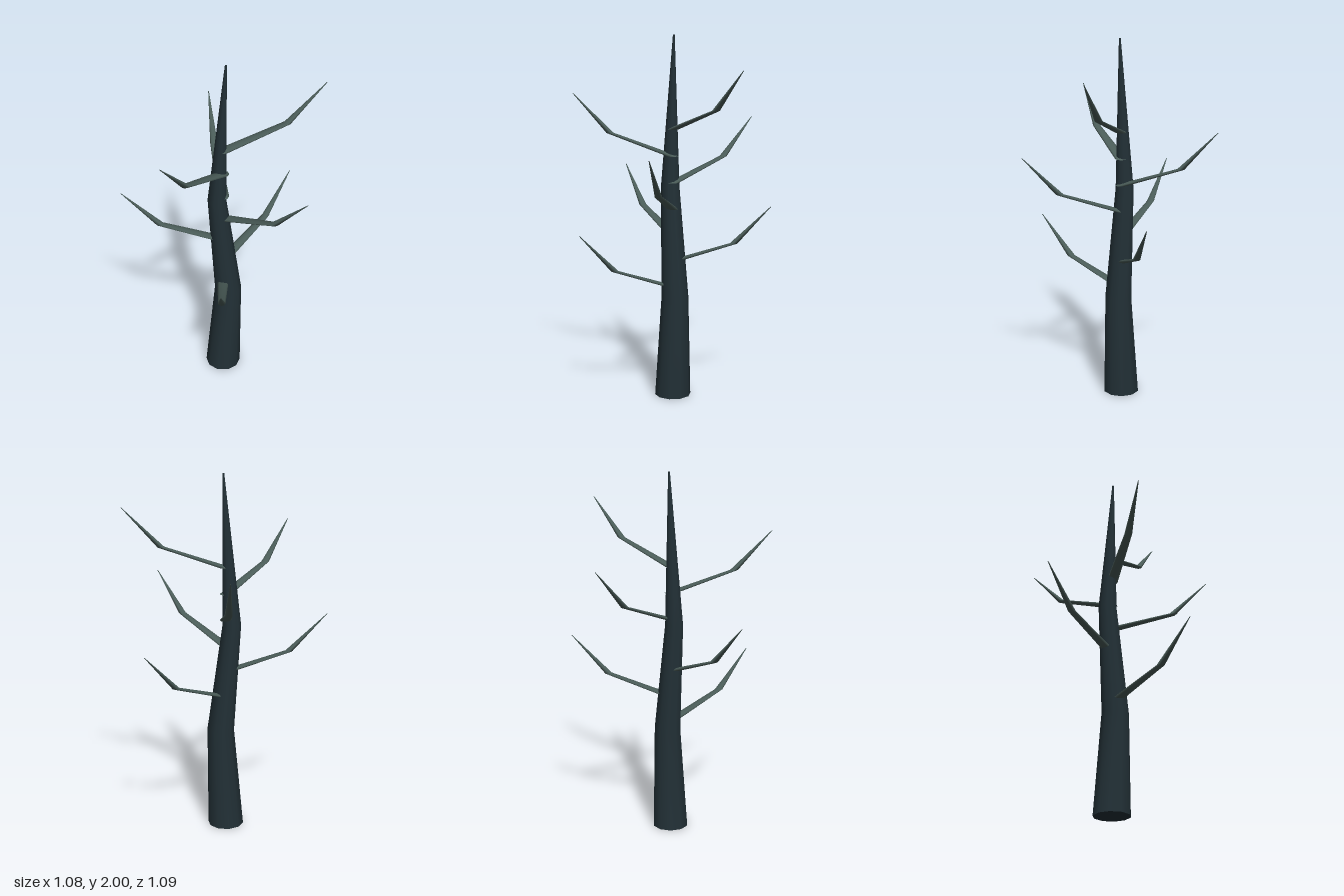
import * as THREE from 'three';

// Skin over horizontal rings [x, y, z, radius], with flat caps at both ends.
function ringSweep(rings, sides) {
  const pos = [], idx = [];
  const addRing = ([x, y, z, r]) => {
    const first = pos.length / 3;
    for (let i = 0; i < sides; i++) {
      const a = (i / sides) * Math.PI * 2;
      pos.push(x + Math.cos(a) * r, y, z + Math.sin(a) * r);
    }
    return first;
  };
  rings.forEach(addRing);
  for (let k = 0; k < rings.length - 1; k++) {
    for (let i = 0; i < sides; i++) {
      const a = k * sides + i, b = k * sides + ((i + 1) % sides);
      idx.push(a, a + sides, b, b, a + sides, b + sides);
    }
  }
  // caps use their own vertices so their edges stay sharp
  const bottom = addRing(rings[0]), top = addRing(rings[rings.length - 1]);
  for (let i = 1; i < sides - 1; i++) {
    idx.push(bottom, bottom + i, bottom + i + 1);
    idx.push(top, top + i + 1, top + i);
  }
  const g = new THREE.BufferGeometry();
  g.setAttribute('position', new THREE.Float32BufferAttribute(pos, 3));
  g.setIndex(idx);
  g.computeVertexNormals();
  return g;
}

export function createModel() {
  const tree = new THREE.Group();
  tree.name = 'bareTree';
  const bark = new THREE.MeshStandardMaterial({ color: 0x223036, side: THREE.DoubleSide });
  const twig = new THREE.MeshStandardMaterial({ color: 0x4a5c58, side: THREE.DoubleSide });
  const cx = 0.008, cz = -0.004;

  // Crooked tapering trunk
  const trunk = new THREE.Mesh(ringSweep([
    [cx, 0, cz, 0.1],
    [0.036, 0.57, cz, 0.075],
    [-0.026, 1.18, cz, 0.051],
    [0.02, 2, cz, 0.005],
  ], 10), bark);
  trunk.name = 'trunk';
  tree.add(trunk);

  // Seven bent branches spiralling up by the golden angle
  for (let i = 0; i < 7; i++) {
    const angle = THREE.MathUtils.degToRad(90 - 137.5 * i);
    const y = 0.62 + 0.146 * i;
    const at = (reach, rise, r) =>
      [cx + Math.cos(angle) * reach, y + rise, cz + Math.sin(angle) * reach, r];
    const branch = new THREE.Mesh(ringSweep([
      at(0, 0, 0.032),
      at(0.345, 0.122, 0.021),
      at(0.548, 0.335, 0.002),
    ], 8), twig);
    branch.name = `branch${i + 1}`;
    tree.add(branch);
  }
  return tree;
}
